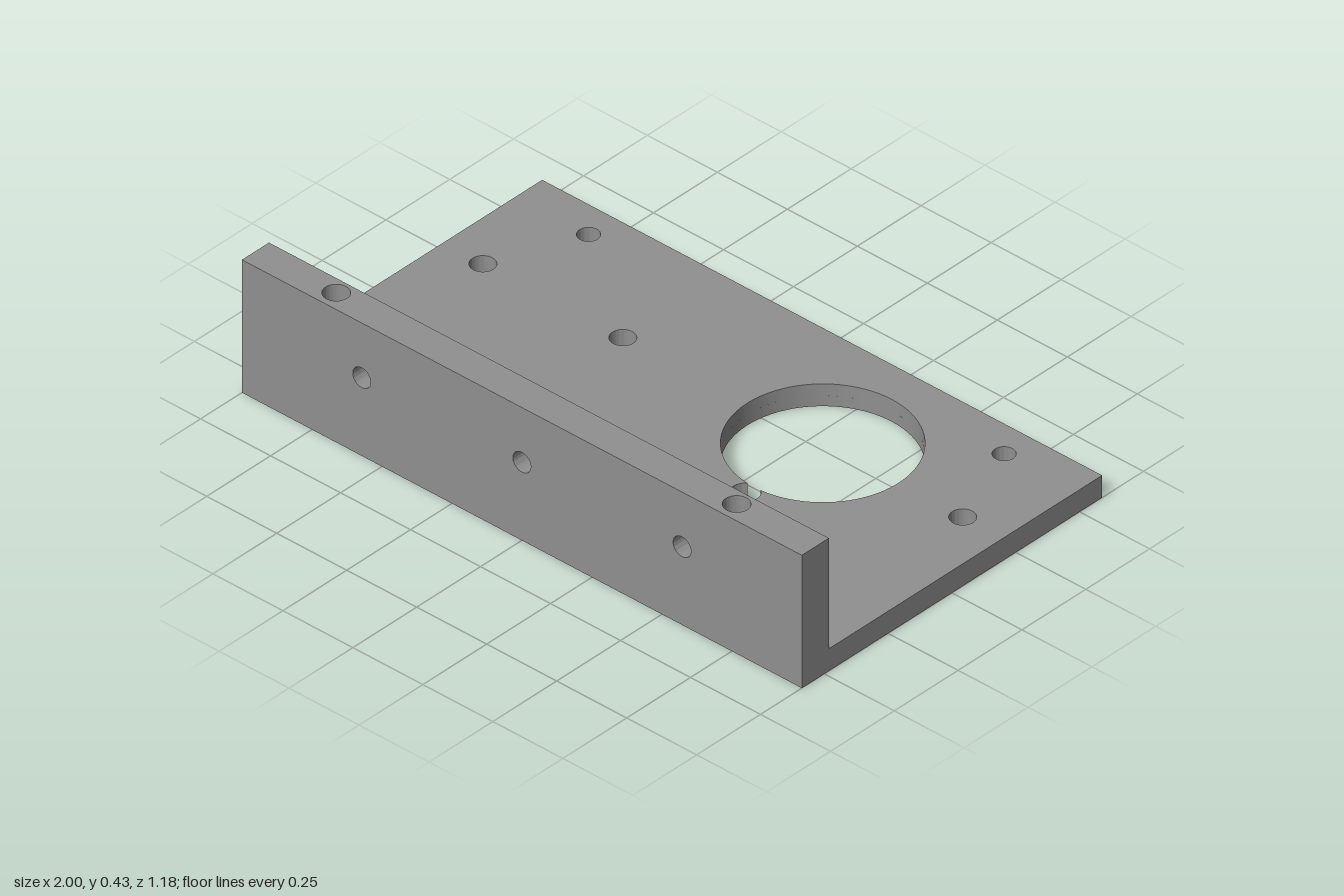
import * as THREE from 'three';
import { toCreasedNormals } from 'three/addons/utils/BufferGeometryUtils.js';

const HALF_DEPTH = 0.588, WALL_BACK = 0.482, PLATE_TOP = 0.072, WALL_TOP = 0.43;

const circle = (x, y, r) => new THREE.Path().absarc(x, y, r, 0, Math.PI * 2, false);

function rect(x0, y0, x1, y1, holes = []) {
  const s = new THREE.Shape();
  s.moveTo(x0, y0).lineTo(x1, y0).lineTo(x1, y1).lineTo(x0, y1).closePath();
  s.holes.push(...holes);
  return s;
}

const extrude = (shape, depth) => toCreasedNormals(
  new THREE.ExtrudeGeometry(shape, { depth, bevelEnabled: false, curveSegments: 40 }), 0.5);

// Slab standing on y0; shape coordinates are (x, -z)
const slab = (shape, y0, y1) =>
  extrude(shape, y1 - y0).rotateX(-Math.PI / 2).translate(0, y0, 0);

// Large opening merged with the counterbore that breaks into its rim
function notchedOpening(x, z, R, nz, r) {
  const d = nz - z, a = (d * d + R * R - r * r) / (2 * d), h = Math.sqrt(R * R - a * a);
  const alpha = Math.atan2(h, a), beta = Math.atan2(h, d - a), q = Math.PI / 2;
  return new THREE.Path()
    .absarc(x, -z, R, -q + alpha, 3 * q - alpha, false)
    .absarc(x, -nz, r, q + beta, 5 * q - beta, false);
}

export function createModel() {
  const model = new THREE.Group();
  model.name = 'mountingBracket';
  const metal = new THREE.MeshStandardMaterial({ color: 0x909090 });
  metal.name = 'grey metal';
  const add = (name, geometry) => {
    const mesh = new THREE.Mesh(geometry, metal);
    mesh.name = name;
    model.add(mesh);
  };

  // Plain through holes in the plate: x, z, radius
  const plain = [
    [-0.742, -0.487, 0.032], [0.742, -0.487, 0.032],
    [-0.742, 0.37, 0.032], [0.742, 0.37, 0.032],
    [-0.858, -0.2, 0.037], [-0.358, -0.2, 0.037], [0.856, -0.2, 0.037],
  ];
  // Counterbored holes: x, z, bore radius, counterbore radius
  const cx = 0.356, opening = 0.27;
  const stepped = [
    [cx, 0.253, 0.032, 0.056], [cx - 0.149, 0.253, 0.022, 0.042],
    [cx + 0.149, 0.253, 0.022, 0.042], [cx, 0.402, 0.022, 0.042],
  ];
  const rim = [cx, 0.104, 0.022, 0.042];
  const plainPaths = () => plain.map(([x, z, r]) => circle(x, -z, r));

  // Base plate: lower layer with bores, upper layer with counterbores
  const step = 0.034;
  add('plateLower', slab(rect(-1, -HALF_DEPTH, 1, HALF_DEPTH, [
    ...plainPaths(), circle(cx, 0.2, opening),
    ...[...stepped, rim].map(([x, z, r]) => circle(x, -z, r)),
  ]), 0, step));
  add('plateUpper', slab(rect(-1, -HALF_DEPTH, 1, HALF_DEPTH, [
    ...plainPaths(), notchedOpening(cx, -0.2, opening, rim[1], rim[3]),
    ...stepped.map(([x, z, , r]) => circle(x, -z, r)),
  ]), step, PLATE_TOP));

  // Middle of the wall: bores at the front, counterbores at the back
  const split = 0.65, wallMid = 0.535;
  const wallLayer = (r, z0, z1) => extrude(rect(-split, PLATE_TOP, split, WALL_TOP,
    [-0.572, 0, 0.572].map(x => circle(x, 0.253, r))), z1 - z0).translate(0, 0, z0);
  add('wallFront', wallLayer(0.032, wallMid, HALF_DEPTH));
  add('wallBack', wallLayer(0.056, WALL_BACK, wallMid));

  // Wall ends with a blind hole in the top edge
  const floor = 0.23;
  for (const side of [-1, 1]) {
    const x0 = side < 0 ? -1 : split, x1 = x0 + 1 - split;
    const end = holes => rect(x0, -HALF_DEPTH, x1, -WALL_BACK, holes);
    const name = side < 0 ? 'rightWallEnd' : 'leftWallEnd';
    add(name + 'Lower', slab(end([]), PLATE_TOP, floor));
    add(name + 'Upper', slab(end([circle(side * 0.715, -0.531, 0.038)]), floor, WALL_TOP));
  }
  return model;
}
